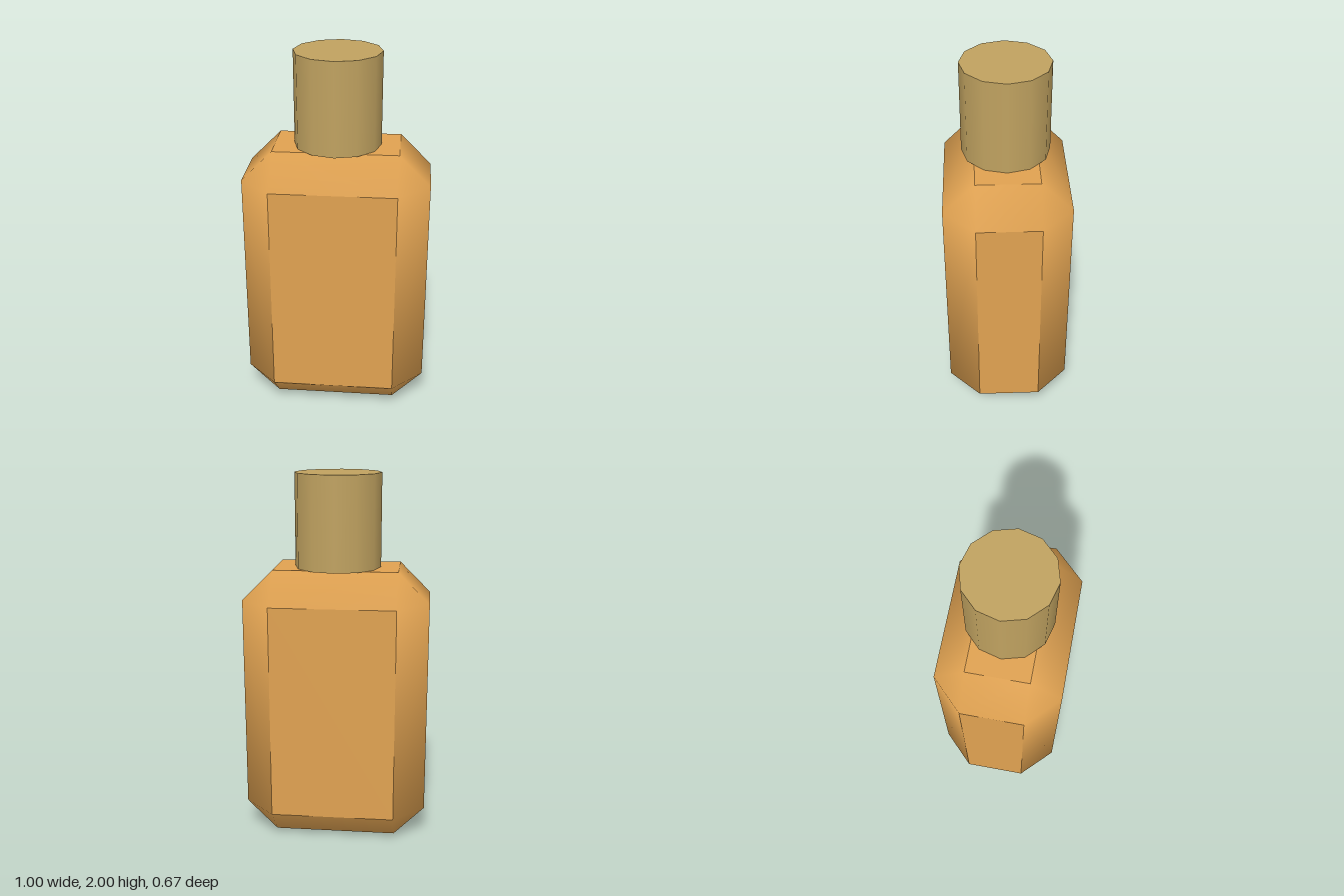
import * as THREE from 'three';

const HALF = [0.5, 0.75, 0.333];
const CHAMFER = 0.167;

// Box with chamfered edges: flat main faces, softly shaded chamfers
function chamferedBox() {
  const positions = [], normals = [];

  // Corner point lying on the main face of the given axis
  const point = (axis, signs) =>
    new THREE.Vector3(...signs.map((s, i) => s * (HALF[i] - (i === axis ? 0 : CHAMFER))));
  // Chamfer normal, leaning towards that main face
  const softNormal = (axis, signs) =>
    new THREE.Vector3(...signs.map((s, i) => s * (i === axis ? 1.55 : 1))).normalize();

  // Adds a fan of corners, wound so that it faces outward
  function addFace(corners, out, flat) {
    for (let i = 1; i < corners.length - 1; i++) {
      let tri = [corners[0], corners[i], corners[i + 1]];
      const [a, b, c] = tri.map(([axis, s]) => point(axis, s));
      if (b.sub(a).cross(c.sub(a)).dot(out) < 0) tri = [tri[0], tri[2], tri[1]];
      for (const [axis, s] of tri) {
        positions.push(...point(axis, s).toArray());
        normals.push(...(flat ? out : softNormal(axis, s)).toArray());
      }
    }
  }
  const signsOf = (entries) => {
    const s = [0, 0, 0];
    entries.forEach(([axis, v]) => { s[axis] = v; });
    return s;
  };

  for (let i = 0; i < 3; i++) {
    const j = (i + 1) % 3, k = (i + 2) % 3;
    for (const si of [-1, 1]) {
      // Main face
      addFace([[-1, -1], [1, -1], [1, 1], [-1, 1]].map(([sj, sk]) =>
        [i, signsOf([[i, si], [j, sj], [k, sk]])]),
      new THREE.Vector3(...signsOf([[i, si]])), true);
      // Edge chamfers between this axis and the next
      for (const sj of [-1, 1]) {
        const low = signsOf([[i, si], [j, sj], [k, -1]]);
        const high = signsOf([[i, si], [j, sj], [k, 1]]);
        addFace([[i, low], [i, high], [j, high], [j, low]],
          new THREE.Vector3(...signsOf([[i, si], [j, sj]])), false);
      }
    }
  }
  // Corner triangles
  for (const x of [-1, 1]) for (const y of [-1, 1]) for (const z of [-1, 1]) {
    const s = [x, y, z];
    addFace([[0, s], [1, s], [2, s]], new THREE.Vector3(...s), false);
  }

  const geometry = new THREE.BufferGeometry();
  geometry.setAttribute('position', new THREE.Float32BufferAttribute(positions, 3));
  geometry.setAttribute('normal', new THREE.Float32BufferAttribute(normals, 3));
  return geometry;
}

export function createModel() {
  const amber = new THREE.MeshStandardMaterial({ color: 0xe0a251 });
  amber.name = 'amber';
  const brass = new THREE.MeshStandardMaterial({ color: 0xc0a260 });
  brass.name = 'brass';

  const model = new THREE.Group();
  model.name = 'bottle';

  // Bottle body
  const body = new THREE.Mesh(chamferedBox(), amber);
  body.name = 'body';
  body.position.y = HALF[1];
  model.add(body);

  // Twelve-sided cap
  const cap = new THREE.Mesh(new THREE.CylinderGeometry(0.233, 0.233, 0.5, 12), brass);
  cap.name = 'cap';
  cap.position.y = 1.75;
  model.add(cap);

  return model;
}
